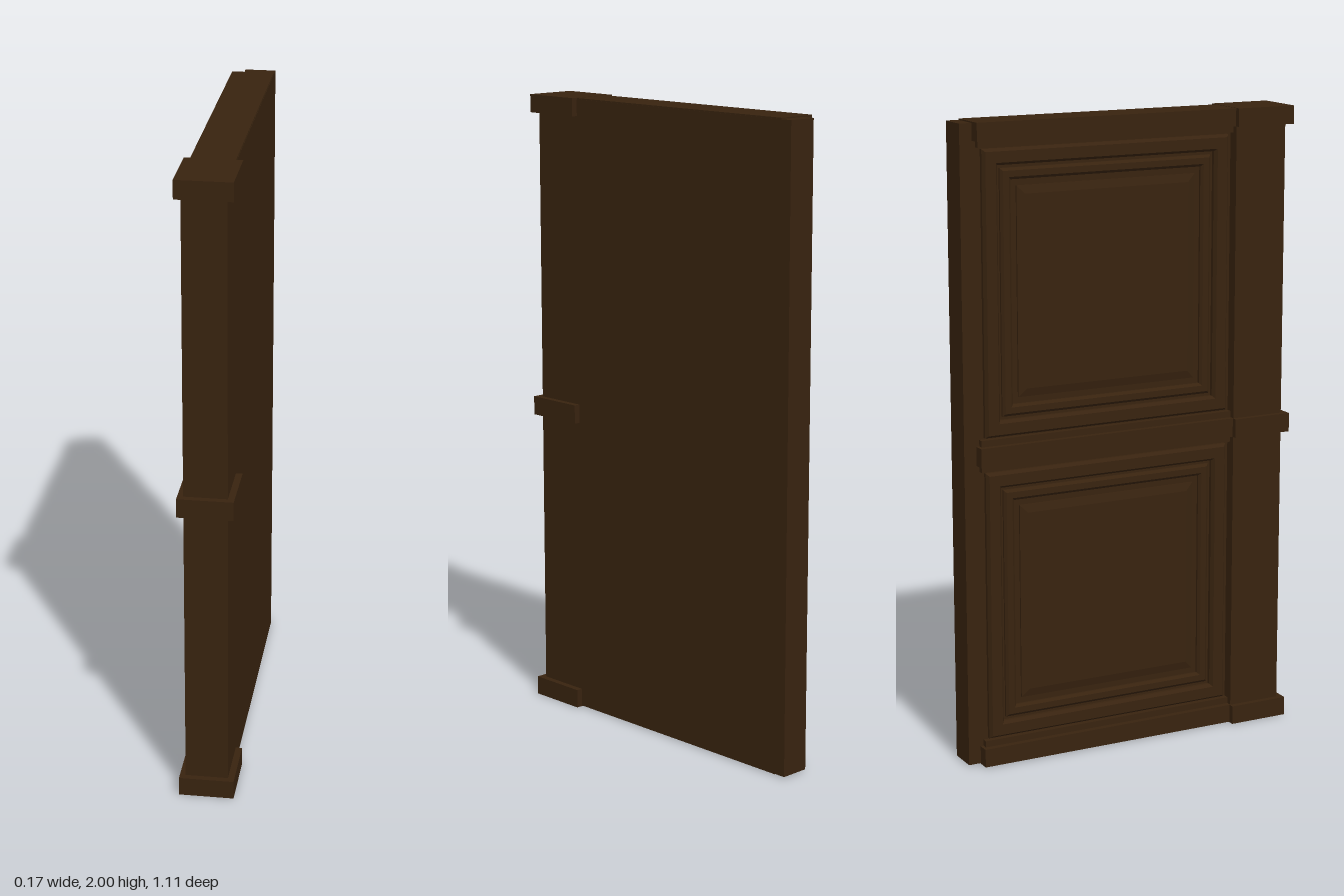
import * as THREE from 'three';

export function createModel() {
  const group = new THREE.Group();
  group.name = 'panelledDoor';
  const wood = new THREE.MeshStandardMaterial({ color: 0x38230f });
  wood.name = 'dark brown wood';

  const add = (name, geometry) => {
    const mesh = new THREE.Mesh(geometry, wood);
    mesh.name = name;
    group.add(mesh);
    return mesh;
  };

  // Box given by its limits on each axis
  const box = (name, x0, x1, y0, y1, z0, z1) =>
    add(name, new THREE.BoxGeometry(x1 - x0, y1 - y0, z1 - z0))
      .position.set((x0 + x1) / 2, (y0 + y1) / 2, (z0 + z1) / 2);

  const rectangle = (path, z0, z1, y0, y1) => {
    path.moveTo(z0, y0);
    path.lineTo(z1, y0);
    path.lineTo(z1, y1);
    path.lineTo(z0, y1);
    path.closePath();
    return path;
  };

  // Bevelled plate or frame standing out towards -x from the door face;
  // width 0 gives a solid plate
  const FACE = -0.03;
  const moulding = (name, [z0, z1, y0, y1], width, depth, bevel) => {
    const shape = rectangle(new THREE.Shape(), z0 + bevel, z1 - bevel, y0 + bevel, y1 - bevel);
    if (width > 0) {
      const w = width - bevel;
      shape.holes.push(rectangle(new THREE.Path(), z0 + w, z1 - w, y0 + w, y1 - w));
    }
    const rise = depth / 2;
    const geometry = new THREE.ExtrudeGeometry(shape, {
      depth: rise, bevelEnabled: true, bevelSize: bevel, bevelThickness: rise, bevelSegments: 1,
    });
    geometry.rotateY(-Math.PI / 2);
    add(name, geometry).position.x = FACE;
  };

  // Door leaf with its exposed closing edge, and the post at the front
  box('doorLeaf', FACE, 0.065, 0.004, 1.995, -0.555, 0.5);
  box('post', -0.067, 0.065, 0.004, 1.996, 0.36, 0.535);

  // Bands around the post, with a stepped rail running back from each
  for (const [y0, y1] of [[0, 0.06], [0.96, 1.02], [1.943, 2]]) {
    box('postBand', -0.085, 0.085, y0, y1, 0.358, 0.555);
    box('rail', -0.067, 0.064, Math.max(y0, 0.002), Math.min(y1, 1.999), -0.515, 0.36);
    box('railStep', -0.048, 0, Math.max(y0 - 0.02, 0.004), Math.min(y1 + 0.02, 1.99), -0.505, 0.36);
  }

  // Two panels, each an outer frame, an inner frame and a raised field
  for (const [y0, y1] of [[0.085, 0.935], [1.045, 1.918]]) {
    const inset = (d) => [-0.49 + d, 0.345 - d, y0 + d, y1 - d];
    moulding('outerPanelFrame', inset(0), 0.05, 0.022, 0.008);
    moulding('innerPanelFrame', inset(0.06), 0.035, 0.014, 0.008);
    moulding('raisedPanel', inset(0.115), 0, 0.012, 0.025);
  }

  return group;
}
